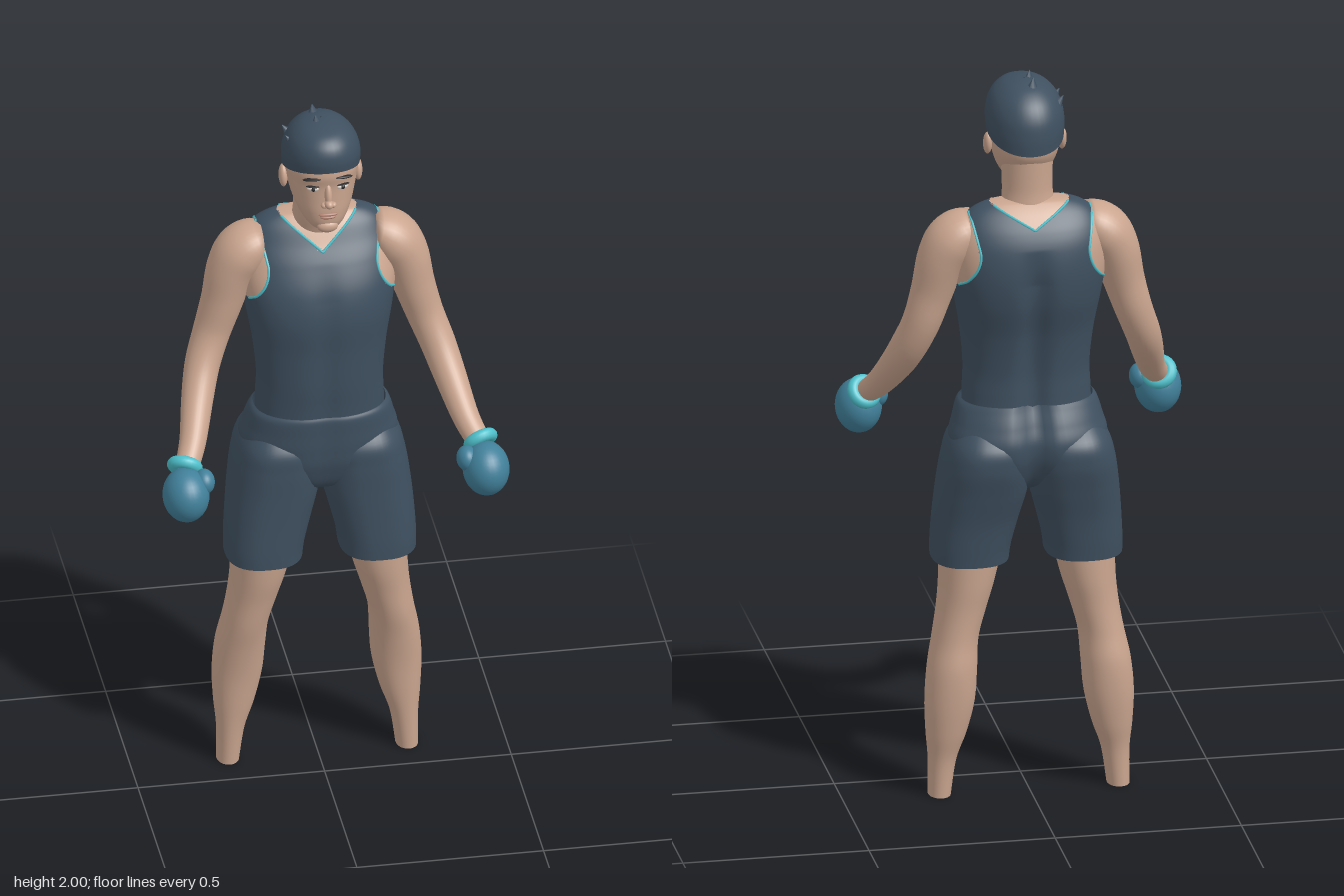
import * as THREE from 'three';

const flat = (name, color, extra = {}) => new THREE.MeshStandardMaterial({ name, color, ...extra });

// Blend a list of equal-length rows smoothly, t in 0..1
function rowAt(rows, t) {
  const f = Math.min(Math.max(t, 0), 1) * (rows.length - 1);
  const i = Math.min(Math.floor(f), rows.length - 2), k = f - i;
  const [a, b, c, d] = [-1, 0, 1, 2].map(o => rows[Math.min(Math.max(i + o, 0), rows.length - 1)]);
  return b.map((_, j) => {
    const p = b[j], q = c[j], m = (q - a[j]) / 2, n = (d[j] - p) / 2;
    return p + k * (m + k * (3 * (q - p) - 2 * m - n + k * (2 * (p - q) + m + n)));
  });
}

// Rows [y, x0, x1, zBack, zFront] to rows [x, y, z, rx, rz]
const spans = rows => rows.map(([y, x0, x1, z0, z1]) =>
  [(x0 + x1) / 2, y, (z0 + z1) / 2, (x1 - x0) / 2, (z1 - z0) / 2]);
const centred = rows => spans(rows.map(([y, rx, z0, z1]) => [y, -rx, rx, z0, z1]));

// Skin rounded cross-sections, listed bottom to top; pick(p) chooses a material index
function loft(rows, { nu = 40, nv = 48, n = 2.3, perp = false, warp, pick } = {}) {
  const pos = [], lists = [[], []], T = new THREE.Vector3(), X = new THREE.Vector3(), Z = new THREE.Vector3();
  const pow = c => Math.sign(c) * Math.abs(c) ** (2 / n);
  for (let v = 0; v <= nv; v++) {
    const t = v / nv, r = rowAt(rows, t);
    T.set(0, 1, 0);
    if (perp) {
      const a = rowAt(rows, t - 0.01), b = rowAt(rows, t + 0.01);
      T.set(b[0] - a[0], b[1] - a[1], b[2] - a[2]).normalize();
    }
    X.set(1, 0, 0).addScaledVector(T, -T.x).normalize();
    Z.crossVectors(X, T);
    for (let u = 0; u < nu; u++) {
      const th = u / nu * Math.PI * 2;
      const p = new THREE.Vector3(r[0], r[1], r[2])
        .addScaledVector(X, r[3] * pow(Math.cos(th))).addScaledVector(Z, r[4] * pow(Math.sin(th)));
      if (warp) warp(p, Math.sin(th));
      pos.push(p.x, p.y, p.z);
    }
  }
  const mid = tri => [0, 1, 2].map(k => tri.reduce((s, i) => s + pos[i * 3 + k], 0) / 3);
  for (let v = 0; v < nv; v++) for (let u = 0; u < nu; u++) {
    const a = v * nu + u, b = v * nu + (u + 1) % nu, c = a + nu, d = b + nu;
    for (const tri of [[a, c, b], [b, c, d]]) lists[pick ? pick(...mid(tri)) : 0].push(...tri);
  }
  const g = new THREE.BufferGeometry();
  g.setAttribute('position', new THREE.Float32BufferAttribute(pos, 3));
  g.setIndex([...lists[0], ...lists[1]]);
  if (pick) {
    g.addGroup(0, lists[0].length, 0);
    g.addGroup(lists[0].length, lists[1].length, 1);
  }
  g.computeVertexNormals();
  return g;
}

export function createModel() {
  const root = new THREE.Group();
  root.name = 'boxer';
  const skin = flat('skin', 0xcaa58f);
  const navy = flat('navy cloth', 0x3f5060, { side: THREE.DoubleSide });
  const blue = flat('glove blue', 0x41809a);
  const teal = flat('teal trim', 0x4ec0cb);
  const dark = flat('dark hair', 0x2b2a2c);
  const white = flat('eye white', 0xd9d0c8);
  const lip = flat('lips', 0xb0806f);

  const add = (name, geo, mat, parent = root) => {
    const m = new THREE.Mesh(geo, mat);
    m.name = name;
    parent.add(m);
    return m;
  };
  const ball = (name, mat, p, r, parent = root) => {
    const m = add(name, new THREE.SphereGeometry(1, 28, 20), mat, parent);
    m.position.set(...p);
    m.scale.set(...r);
    return m;
  };
  // Vertical groove down the back, and a shallow one down the chest
  const groove = (p, s, back, front) => {
    const fade = Math.min(Math.max((1.56 - p.y) / 0.1, 0), 1);
    p.z += fade * Math.exp(-((p.x / 0.035) ** 2)) * (s < 0 ? -s * back : -s * front);
  };

  // Torso: vest with armholes and V necklines
  const torso = centred([
    [1.06, 0.172, -0.2, 0.03], [1.13, 0.17, -0.198, 0.034], [1.2, 0.168, -0.2, 0.04], [1.3, 0.178, -0.215, 0.044],
    [1.4, 0.195, -0.242, 0.05], [1.48, 0.205, -0.25, 0.035], [1.55, 0.203, -0.242, 0.0],
    [1.6, 0.19, -0.222, -0.035], [1.64, 0.165, -0.192, -0.062], [1.665, 0.12, -0.165, -0.085], [1.672, 0.06, -0.15, -0.095],
  ]);
  const N = 2.4;
  const armhole = y => y < 1.45 ? 9 : y < 1.55 ? 0.145 + 5 * (1.55 - y) ** 2 : 0.145 + 0.2 * (y - 1.55);
  const neckline = (x, front) => front ? 1.585 + 0.8 * Math.abs(x) : 1.61 + 0.55 * Math.abs(x);
  add('vest', loft(torso, {
    nu: 128, nv: 140, n: N, warp: (p, s) => groove(p, s, 0.022, 0.006),
    pick: (x, y, z) => Math.abs(x) > armhole(y) || y > neckline(x, z > -0.12) ? 1 : 0,
  }), [navy, skin]);

  // Trim cords lying on the torso surface
  const onTorso = (x, y, side) => {
    let lo = 0, hi = 1;
    for (let i = 0; i < 30; i++) {
      const m = (lo + hi) / 2;
      if (rowAt(torso, m)[1] < y) lo = m; else hi = m;
    }
    const r = rowAt(torso, lo), k = Math.min(Math.abs(x) / r[3], 1);
    return new THREE.Vector3(x, y, r[2] + side * r[4] * (1 - k ** N) ** (1 / N));
  };
  const cord = (name, pts) =>
    add(name, new THREE.TubeGeometry(new THREE.CatmullRomCurve3(pts), 80, 0.0035, 6), teal);
  for (const side of [1, -1]) {
    const pts = [];
    for (let i = -12; i <= 12; i++) pts.push(onTorso(i / 120, neckline(i / 120, side > 0), side));
    cord(side > 0 ? 'frontNeckTrim' : 'backNeckTrim', pts);
    for (const s of [1, -1]) {
      const edge = [];
      for (let y = 1.451; y < 1.652; y += 0.016) edge.push(onTorso(s * armhole(y), y, side));
      cord('armholeTrim', edge);
    }
  }

  // Shorts: hips with one wide leg on each side
  add('shortsHips', loft(centred([
    [0.84, 0.02, -0.13, -0.07], [0.875, 0.1, -0.2, 0.0], [0.94, 0.19, -0.238, 0.028], [1.0, 0.211, -0.247, 0.036],
    [1.05, 0.2, -0.23, 0.038], [1.09, 0.188, -0.21, 0.039], [1.105, 0.176, -0.203, 0.034],
  ]), { nu: 72, warp: (p, s) => groove(p, s, 0.03, 0.006) }), navy);
  const shortLeg = [
    [0.655, 0.05, 0.255, -0.19, 0.035], [0.7, 0.044, 0.255, -0.196, 0.036], [0.78, 0.024, 0.25, -0.208, 0.035],
    [0.86, 0.004, 0.242, -0.228, 0.035], [0.94, 0.0, 0.23, -0.247, 0.036], [1.0, 0.01, 0.212, -0.24, 0.03],
    [1.06, 0.06, 0.17, -0.18, -0.02],
  ];
  const leg = [
    [0, 0.21, 0.27, -0.16, -0.075], [0.1, 0.195, 0.27, -0.165, -0.07], [0.18, 0.168, 0.277, -0.182, -0.064],
    [0.27, 0.147, 0.28, -0.195, -0.056], [0.36, 0.14, 0.272, -0.198, -0.04], [0.44, 0.134, 0.256, -0.187, -0.022],
    [0.52, 0.112, 0.243, -0.184, -0.01], [0.6, 0.088, 0.236, -0.188, 0.004], [0.72, 0.06, 0.235, -0.19, 0.015],
  ];
  // Arms run from wrist to shoulder
  const arm = [
    [0.39, 1.055, 0.125, 0.032, 0.03], [0.365, 1.1, 0.07, 0.036, 0.036], [0.338, 1.18, -0.015, 0.043, 0.045],
    [0.315, 1.25, -0.07, 0.047, 0.052], [0.285, 1.33, -0.1, 0.05, 0.056], [0.257, 1.42, -0.105, 0.056, 0.063],
    [0.232, 1.51, -0.11, 0.065, 0.076], [0.2, 1.565, -0.112, 0.068, 0.082], [0.155, 1.593, -0.113, 0.05, 0.066],
    [0.11, 1.58, -0.113, 0.008, 0.01],
  ];
  const forearm = new THREE.Vector3(0.025, -0.05, 0.06);

  for (const s of [1, -1]) {
    const label = s > 0 ? 'left' : 'right';
    const flip = rows => rows.map(([x, ...rest]) => [s * x, ...rest]);
    add(label + 'ShortsLeg', loft(flip(spans(shortLeg)), { n: 2.5 }), navy);
    add(label + 'Leg', loft(flip(spans(leg)), { n: 2.1 }), skin);
    const sole = add(label + 'AnkleEnd', new THREE.CircleGeometry(1, 32).rotateX(Math.PI / 2), skin);
    sole.position.set(s * 0.24, 0.001, -0.1175);
    sole.scale.set(0.03, 1, 0.0425);
    add(label + 'Arm', loft(flip(arm), { nu: 32, n: 2, perp: true }), skin);

    // Boxing glove
    const glove = new THREE.Group();
    glove.name = label + 'Glove';
    root.add(glove);
    ball('mitt', blue, [s * 0.402, 0.998, 0.176], [0.062, 0.073, 0.074], glove);
    ball('thumb', blue, [s * 0.352, 1.03, 0.17], [0.028, 0.034, 0.036], glove);
    const cuff = add('cuff', new THREE.TorusGeometry(0.031, 0.017, 14, 32), teal, glove);
    cuff.position.set(s * 0.396, 1.055, 0.125);
    cuff.quaternion.setFromUnitVectors(new THREE.Vector3(0, 0, 1),
      forearm.clone().multiply(new THREE.Vector3(s, 1, 1)).normalize());

    // Face details and ears
    ball(label + 'Ear', skin, [s * 0.1, 1.81, -0.065], [0.012, 0.032, 0.019]).rotation.x = -0.2;
    const brow = ball(label + 'Brow', dark, [s * 0.043, 1.859, 0.053], [0.025, 0.004, 0.007]);
    brow.rotation.set(0, s * 0.3, s * -0.1);
    ball(label + 'Eye', white, [s * 0.04, 1.829, 0.05], [0.016, 0.007, 0.007]).rotation.y = s * 0.3;
    ball(label + 'Pupil', dark, [s * 0.039, 1.829, 0.055], [0.006, 0.006, 0.004]);
    ball(label + 'Lid', dark, [s * 0.041, 1.836, 0.052], [0.018, 0.002, 0.006]).rotation.y = s * 0.3;
    ball(label + 'Nostril', skin, [s * 0.012, 1.782, 0.062], [0.009, 0.008, 0.01]);
  }

  // Neck and head
  add('neck', loft(centred([
    [1.58, 0.06, -0.16, -0.07], [1.64, 0.07, -0.168, -0.05], [1.7, 0.067, -0.163, -0.032], [1.8, 0.07, -0.165, -0.02],
  ]), { n: 2 }), skin);
  add('head', loft(centred([
    [1.685, 0.004, 0.0, 0.012], [1.693, 0.034, -0.04, 0.038], [1.715, 0.056, -0.09, 0.054], [1.75, 0.075, -0.14, 0.058],
    [1.79, 0.087, -0.17, 0.057], [1.83, 0.094, -0.178, 0.057], [1.87, 0.096, -0.183, 0.062],
    [1.915, 0.08, -0.16, 0.045], [1.94, 0.01, -0.08, -0.04],
  ]), { n: 2.2 }), skin);
  ball('noseBridge', skin, [0, 1.81, 0.058], [0.01, 0.034, 0.014]).rotation.x = -0.25;
  ball('noseTip', skin, [0, 1.788, 0.069], [0.012, 0.012, 0.016]);
  ball('upperLip', lip, [0, 1.75, 0.057], [0.026, 0.005, 0.007]);
  ball('lowerLip', lip, [0, 1.741, 0.056], [0.021, 0.005, 0.007]);
  ball('chin', skin, [0, 1.708, 0.045], [0.028, 0.018, 0.016]);

  // Cap, its rim higher at the brow than at the nape
  add('cap', loft(centred([
    [1.845, 0.102, -0.191, 0.067], [1.88, 0.104, -0.192, 0.07], [1.915, 0.098, -0.186, 0.066],
    [1.945, 0.083, -0.165, 0.053], [1.968, 0.058, -0.13, 0.028], [1.98, 0.028, -0.09, -0.015], [1.983, 0.002, -0.06, -0.055],
  ]), {
    n: 2.1,
    warp: p => { p.y += (p.z + 0.062) * 0.28 * Math.min(Math.max((1.983 - p.y) / 0.138, 0), 1); },
  }), navy);
  // Small peaks on the crown and the right side of the cap
  for (const z of [-0.1, -0.045]) {
    for (const [x, y, tilt] of [[-0.015, 1.984, 0.1], [-0.088, 1.93, 0.6]]) {
      const peak = add('capPeak', new THREE.ConeGeometry(0.016, 0.034, 8), navy);
      peak.position.set(x, y, z);
      peak.rotation.z = tilt;
    }
  }
  return root;
}
